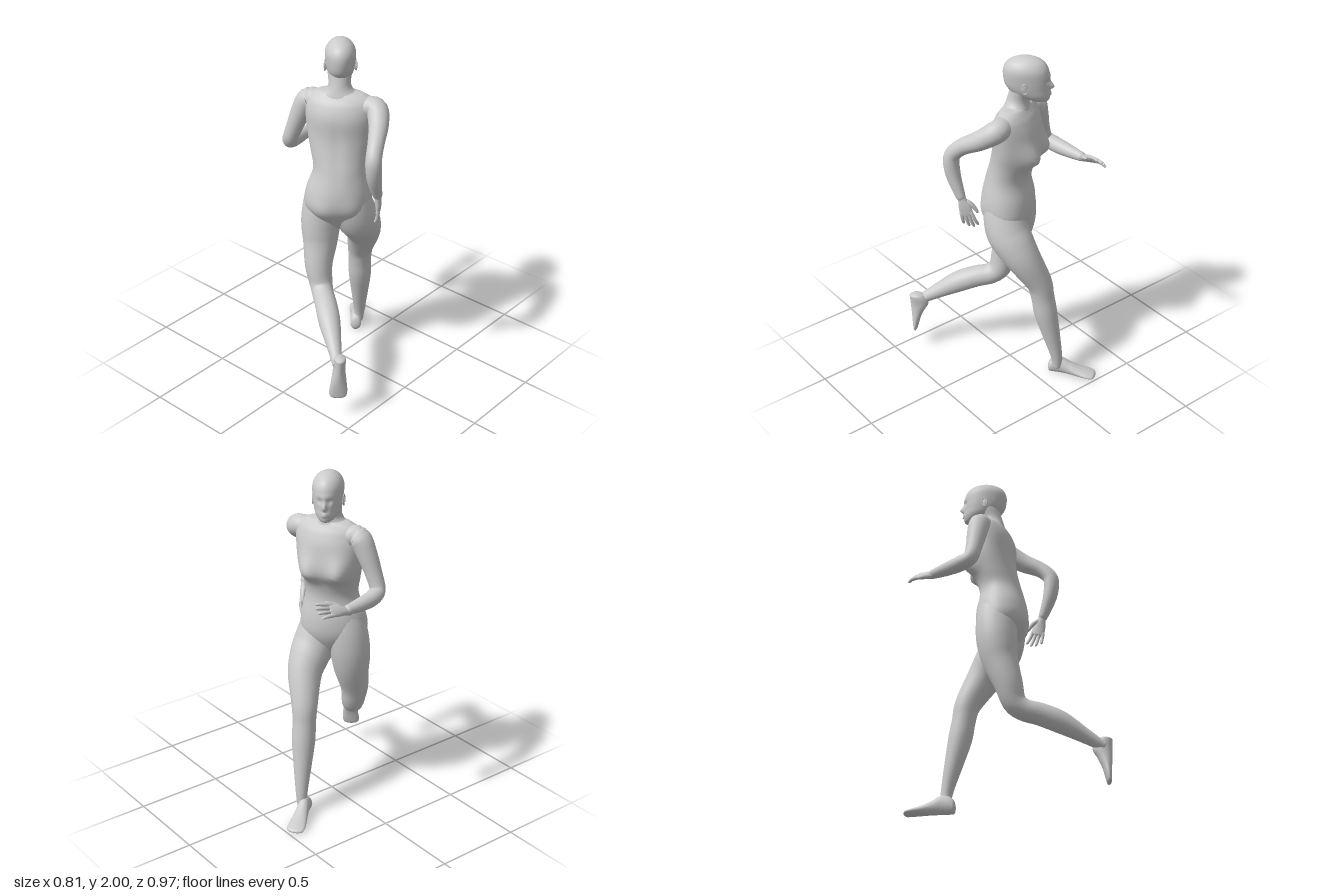
import * as THREE from 'three';

const V = (x, y, z) => new THREE.Vector3(x, y, z);
const UP = V(0, 1, 0);
const material = new THREE.MeshStandardMaterial({ color: 0xcccccc, roughness: 0.8 });
const bump = (v, centre, width) => Math.exp(-(((v - centre) / width) ** 2));

// Smooth closed loft. Each row is x, y, z, half width along `side`, half depth (defaults to width).
function loft(name, rows, side, { n = 28, seg = 24, cap = 0.06, axis = null, side2 = side, sculpt = null } = {}) {
  const path = new THREE.CatmullRomCurve3(rows.map(r => V(r[0], r[1], r[2])), false, 'catmullrom', 0.5);
  const size = new THREE.CatmullRomCurve3(rows.map(r => V(r[3], r[4] ?? r[3], 0)), false, 'catmullrom', 0.5);
  const pos = [], idx = [];
  for (let i = 0; i <= n; i++) {
    const u = (1 - Math.cos(Math.PI * i / n)) / 2;
    const c = path.getPoint(u), r = size.getPoint(u);
    const t = axis ?? path.getTangent(u);
    const s = side.clone().lerp(side2, u);
    s.addScaledVector(t, -s.dot(t)).normalize();
    const f = t.clone().cross(s);
    const e = Math.min(u, 1 - u);
    const k = e < cap ? Math.sqrt(Math.max(0, 1 - (1 - e / cap) ** 2)) : 1;
    for (let j = 0; j < seg; j++) {
      const a = j / seg * Math.PI * 2;
      const p = c.clone().addScaledVector(s, r.x * k * Math.cos(a)).addScaledVector(f, r.y * k * Math.sin(a));
      if (sculpt) p.addScaledVector(f, sculpt(p.y, a));
      pos.push(p.x, p.y, p.z);
      if (i < n) {
        const p0 = i * seg + j, p1 = i * seg + (j + 1) % seg;
        idx.push(p0, p1, p0 + seg, p1, p1 + seg, p0 + seg);
      }
    }
  }
  const g = new THREE.BufferGeometry();
  g.setAttribute('position', new THREE.Float32BufferAttribute(pos, 3));
  g.setIndex(idx);
  g.computeVertexNormals();
  const mesh = new THREE.Mesh(g, material);
  mesh.name = name;
  return mesh;
}

// Palm, four curled fingers and a thumb
function hand(name, wrist, dir, thumbSide, palmDir) {
  const g = new THREE.Group();
  g.name = name;
  dir.normalize();
  thumbSide.addScaledVector(dir, -thumbSide.dot(dir)).normalize();
  palmDir.addScaledVector(dir, -palmDir.dot(dir)).normalize();
  const at = (d, s, p, ...r) => {
    const q = wrist.clone().addScaledVector(dir, d).addScaledVector(thumbSide, s).addScaledVector(palmDir, p);
    return [q.x, q.y, q.z, ...r];
  };
  g.add(loft('palm', [at(-0.05, 0, 0, 0.02, 0.02), at(0, 0, 0, 0.024, 0.02), at(0.045, 0.002, 0, 0.036, 0.018),
    at(0.085, 0, 0.002, 0.038, 0.014), at(0.105, 0, 0.004, 0.032, 0.011)], thumbSide, { n: 20 }));
  [0.085, 0.095, 0.088, 0.068].forEach((len, k) => {
    const s = 0.028 - 0.0187 * k, spread = s * 0.5;
    g.add(loft('finger', [at(0.07, s, 0, 0.0105), at(0.09 + len * 0.45, s + spread * 0.5, 0.006, 0.0098),
      at(0.088 + len, s + spread, 0.022, 0.0075)], thumbSide, { n: 12, seg: 10, cap: 0.12 }));
  });
  g.add(loft('thumb', [at(0.01, 0.012, 0.004, 0.015), at(0.045, 0.042, 0.012, 0.013), at(0.1, 0.06, 0.022, 0.0085)],
    palmDir, { n: 12, seg: 12, cap: 0.12 }));
  return g;
}

// Foot laid from the heel to the toes, with its sole on that line
function foot(name, heel, toe, up) {
  const dir = toe.clone().sub(heel), len = dir.length();
  dir.normalize();
  up.addScaledVector(dir, -up.dot(dir)).normalize();
  const rows = [[0, 0.03, 0.07], [0.12, 0.034, 0.1], [0.28, 0.034, 0.108], [0.45, 0.038, 0.08],
    [0.65, 0.046, 0.053], [0.85, 0.051, 0.035], [1, 0.042, 0.022]];
  return loft(name, rows.map(([t, w, h]) =>
    [...heel.clone().addScaledVector(dir, t * len).addScaledVector(up, h / 2).toArray(), w, h / 2]),
  up.clone().cross(dir), { axis: dir, n: 36, cap: 0.07 });
}

export function createModel() {
  const body = new THREE.Group();
  body.name = 'runningFigure';
  const hipSide = V(0.69, 0, -0.72), chestSide = V(0.93, 0, -0.37), headSide = V(0.73, 0, -0.68);
  const front = Math.PI / 2, back = Math.PI * 1.5;
  const pair = (a, centre, off, w) => bump(a, centre - off, w) + bump(a, centre + off, w);

  // Torso twisted from hips to chest, with bust, buttocks and spine groove sculpted in
  body.add(loft('torso', [
    [0, 0.89, 0, 0.06, 0.045], [-0.003, 0.96, 0.003, 0.135, 0.092], [-0.005, 1.05, 0.012, 0.187, 0.138],
    [0, 1.15, 0.012, 0.182, 0.146], [0.005, 1.27, 0.005, 0.15, 0.125], [-0.012, 1.37, -0.012, 0.162, 0.123],
    [-0.022, 1.47, -0.028, 0.183, 0.123], [-0.022, 1.58, -0.03, 0.195, 0.122], [-0.02, 1.65, -0.032, 0.195, 0.1],
    [-0.02, 1.69, -0.034, 0.175, 0.076], [-0.025, 1.722, -0.034, 0.11, 0.055],
  ], hipSide, {
    side2: chestSide, axis: UP, n: 72, seg: 64, cap: 0.03,
    sculpt: (y, a) => 0.062 * bump(y, 1.425, y < 1.425 ? 0.045 : 0.1) * pair(a, front, 0.58, 0.46)
      - 0.018 * bump(y, 1.05, 0.08) * pair(a, back, 0.5, 0.4)
      + 0.006 * bump(a, back, 0.2) * bump(y, 1.42, 0.17),
  }));

  // Neck flaring into the shoulders
  body.add(loft('neck', [[-0.022, 1.63, -0.03, 0.16, 0.085], [-0.024, 1.69, -0.032, 0.12, 0.073], [-0.028, 1.725, -0.031, 0.075, 0.064],
    [-0.034, 1.76, -0.036, 0.061], [-0.045, 1.81, -0.05, 0.066], [-0.053, 1.86, -0.06, 0.07]], chestSide,
  { side2: headSide, axis: UP, n: 36, seg: 40, cap: 0.03 }));

  // Head
  const head = new THREE.Group();
  head.name = 'head';
  const fx = -0.68, fz = -0.73, hx = -0.058, hz = -0.07;
  const skull = [[1.742, 0.078, 0.012, 0.018], [1.755, 0.066, 0.037, 0.054], [1.785, 0.033, 0.062, 0.094], [1.825, 0.009, 0.075, 0.117],
    [1.875, 0, 0.082, 0.125], [1.93, -0.004, 0.083, 0.121], [1.97, -0.005, 0.064, 0.096], [1.993, -0.004, 0.033, 0.05], [2, -0.003, 0.004, 0.004]];
  head.add(loft('skull', skull.map(([y, o, a, b]) => [hx + fx * o, y, hz + fz * o, a, b]), headSide, {
    axis: UP, n: 80, seg: 80, cap: 0.01,
    sculpt: (y, a) => 0.024 * bump(a, front, 0.13) * bump(y, 1.832, y < 1.832 ? 0.011 : 0.028)
      - 0.01 * pair(a, front, 0.33, 0.17) * bump(y, 1.867, 0.013)
      + 0.004 * bump(a, front, 0.6) * bump(y, 1.892, 0.012)
      + 0.007 * bump(a, front, 0.24) * (bump(y, 1.799, 0.005) + bump(y, 1.788, 0.005)),
  }));
  for (const s of [-1, 1]) {
    const ear = new THREE.Group();
    ear.name = 'ear';
    const shell = new THREE.Mesh(new THREE.SphereGeometry(1, 16, 12), material);
    shell.name = 'earShell';
    shell.scale.set(0.006, 0.03, 0.017);
    const rim = new THREE.Mesh(new THREE.TorusGeometry(0.021, 0.004, 8, 24), material);
    rim.name = 'earRim';
    rim.rotation.y = Math.PI / 2;
    rim.scale.set(0.75, 1.35, 1);
    rim.position.x = s * 0.004;
    ear.add(shell, rim);
    ear.position.set(hx + s * 0.08 * headSide.x, 1.845, hz + s * 0.08 * headSide.z);
    ear.rotation.y = Math.atan2(-headSide.z, headSide.x) + s * 0.2;
    head.add(ear);
  }
  body.add(head);

  // Arms: one swung forward, the other back
  body.add(loft('forwardArm', [[-0.06, 1.63, -0.012, 0.045], [-0.135, 1.642, 0.01, 0.058], [-0.2, 1.638, 0.032, 0.063], [-0.24, 1.56, 0.05, 0.057],
    [-0.28, 1.45, 0.068, 0.047], [-0.312, 1.368, 0.07, 0.043], [-0.335, 1.342, 0.015, 0.044],
    [-0.352, 1.335, -0.08, 0.038], [-0.368, 1.335, -0.2, 0.024]], V(0.8, 0.3, -0.5), { n: 56, cap: 0.02 }));
  body.add(hand('forwardHand', V(-0.368, 1.335, -0.2), V(0, 0.06, -0.18), V(0.75, 0.65, 0.2), V(0.65, -0.75, 0)));
  body.add(loft('rearArm', [[0.03, 1.63, -0.055, 0.045], [0.105, 1.642, -0.082, 0.058], [0.172, 1.638, -0.103, 0.062], [0.235, 1.585, -0.045, 0.055],
    [0.29, 1.53, 0.04, 0.046], [0.318, 1.475, 0.09, 0.044], [0.325, 1.42, 0.1, 0.045],
    [0.32, 1.33, 0.085, 0.04], [0.305, 1.2, 0.035, 0.024]], V(0.8, 0, -0.6), { n: 56, cap: 0.02 }));
  body.add(hand('rearHand', V(0.304, 1.205, 0.036), V(-0.12, -0.96, -0.25), V(-0.55, 0, -0.83), V(-0.83, 0, 0.55)));

  // Legs: the front one planted, the rear one bent and lifted
  body.add(loft('frontLeg', [[0.055, 1.17, -0.01, 0.098], [0.064, 1.06, -0.028, 0.116], [0.068, 0.96, -0.065, 0.122], [0.057, 0.89, -0.115, 0.115],
    [0.03, 0.8, -0.17, 0.098], [-0.035, 0.65, -0.222, 0.075], [-0.052, 0.55, -0.238, 0.067], [-0.064, 0.44, -0.253, 0.067],
    [-0.085, 0.3, -0.277, 0.053], [-0.11, 0.13, -0.304, 0.034], [-0.118, 0.04, -0.302, 0.03]], hipSide, { n: 60, cap: 0.02 }));
  body.add(foot('frontFoot', V(-0.093, 0, -0.25), V(-0.268, 0, -0.476), V(0, 1, 0)));
  body.add(loft('rearLeg', [[-0.06, 1.17, 0.03, 0.098], [-0.078, 1.06, 0.045, 0.114], [-0.088, 0.96, 0.057, 0.116], [-0.088, 0.88, 0.067, 0.11],
    [-0.08, 0.8, 0.08, 0.099], [-0.06, 0.67, 0.118, 0.08], [-0.03, 0.565, 0.133, 0.067], [0.015, 0.52, 0.165, 0.062],
    [0.085, 0.5, 0.218, 0.063], [0.17, 0.46, 0.285, 0.062], [0.27, 0.392, 0.362, 0.043], [0.335, 0.345, 0.413, 0.031],
    [0.365, 0.328, 0.435, 0.027]], hipSide, { n: 64, cap: 0.02 }));
  body.add(foot('rearFoot', V(0.404, 0.385, 0.456), V(0.383, 0.118, 0.455), V(-0.7, 0, -0.7)));
  return body;
}
